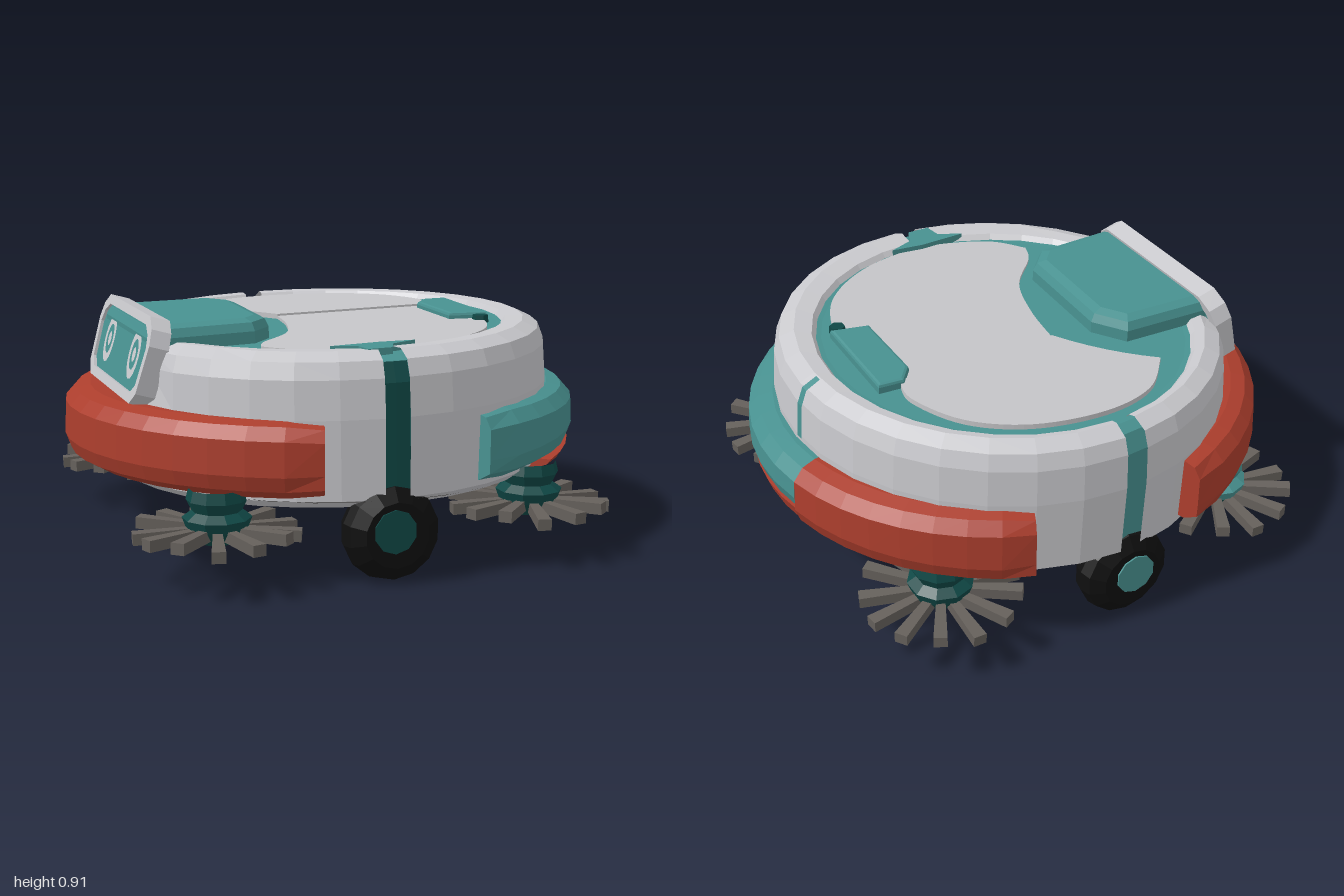
import * as THREE from 'three';

const mat = (name, color) => new THREE.MeshStandardMaterial({ name, color });

// Faceted shading for any geometry
function flat(geo) {
  const g = geo.index ? geo.toNonIndexed() : geo;
  g.computeVertexNormals();
  return g;
}

const V2 = (pts) => pts.map(([x, y]) => new THREE.Vector2(x, y));
const lathe = (pts, seg, start = 0, len = Math.PI * 2) => new THREE.LatheGeometry(V2(pts), seg, start, len);

// Sweeps a (radius, height) cross-section around an arc, easing the chosen ends
function sweepArc(section, a0, a1, n, taperStart, taperEnd) {
  const pos = [], idx = [], m = section(0).length;
  for (let j = 0; j <= n; j++) {
    const t = j / n, a = a0 + (a1 - a0) * t;
    const end = (taperStart && j === 0) || (taperEnd && j === n);
    for (const [r, y] of section(t)) {
      const rr = end ? Math.min(r, 0.982) : r;
      const yy = end ? 0.45 + (y - 0.45) * 0.92 : y;
      pos.push(rr * Math.sin(a), yy, rr * 0.965 * Math.cos(a) - 0.02);
    }
  }
  for (let j = 0; j < n; j++) for (let i = 0; i < m; i++) {
    const a = j * m + i, b = j * m + (i + 1) % m;
    idx.push(a, b + m, b, a, a + m, b + m);
  }
  for (let i = 1; i < m - 1; i++) {
    idx.push(0, i, i + 1, n * m, n * m + i + 1, n * m + i);
  }
  const g = new THREE.BufferGeometry();
  g.setAttribute('position', new THREE.Float32BufferAttribute(pos, 3));
  g.setIndex(idx);
  return flat(g);
}

export function createModel() {
  const white = mat('shell white', 0xc9c9cd);
  white.side = THREE.DoubleSide;
  const panelGrey = mat('panel grey', 0xc5c5c8);
  const teal = mat('teal', 0x489190);
  const darkTeal = mat('dark teal', 0x104846);
  const red = mat('red', 0xac3e2d);
  const black = mat('tyre black', 0x0f0f0f);
  const brushGrey = mat('bristle grey', 0x65605b);
  const under = mat('underside charcoal', 0x565250);

  const model = new THREE.Group();
  model.name = 'floorCleaner';
  const add = (name, geo, material, parent = model, x = 0, y = 0, z = 0) => {
    const mesh = new THREE.Mesh(flat(geo), material);
    mesh.name = name;
    mesh.position.set(x, y, z);
    parent.add(mesh);
    return mesh;
  };

  // Upper body, slightly higher on the +x side
  const body = new THREE.Group();
  body.name = 'body';
  body.position.x = 0.014;
  body.rotation.z = 0.02;
  model.add(body);

  // Fits a round part to the body plan: inner rim set back, -x side cut flat for the face
  const fit = (geo) => {
    geo.scale(0.985, 1, 1.02).translate(0.015, 0, -0.015);
    const p = geo.attributes.position;
    for (let i = 0; i < p.count; i++) {
      const x = p.getX(i), y = p.getY(i), z = p.getZ(i);
      if (y > 0.7 && Math.hypot(x, z) < 0.77) p.setZ(i, z - 0.03);
      if (y > 0.5) p.setX(i, Math.max(x, -0.765 + (y - 0.75) * 0.27));
    }
    return geo;
  };

  // Shell in two halves with a seam at the front and back
  const shell = [[0.83, 0.28], [0.868, 0.31], [0.878, 0.6], [0.87, 0.74], [0.848, 0.8],
    [0.79, 0.828], [0.735, 0.822], [0.71, 0.79]];
  const core = [[0.82, 0.285], [0.845, 0.315], [0.85, 0.72], [0.82, 0.79], [0.78, 0.808], [0.7, 0.8], [0, 0.8]];
  const swell = (pts, k) => pts.map(([r, y]) => [r * k, y]);
  add('shellRight', fit(lathe(shell, 16, 0, Math.PI + 0.005)), white, body);
  add('shellLeft', fit(lathe(shell, 16, Math.PI + 0.105, Math.PI - 0.21)), white, body);
  add('deck', fit(lathe(core, 32)), teal, body);
  add('frontSeam', fit(lathe(swell(core.slice(0, 4), 1.008), 2, -0.115, 0.125)), darkTeal, body);
  add('sideSeam', fit(lathe(swell(shell.slice(2, 6), 1.006), 1, Math.PI / 2 + 0.035, 0.035)), teal, body);
  add('underside', fit(lathe([[0, 0.268], [0.8, 0.278], [0.875, 0.305]], 32)), under);

  // Top panels, outlined in plan with back at +v
  const plan = (start, curve) => {
    const s = new THREE.Shape();
    s.moveTo(...start);
    s.splineThru(V2(curve));
    return s;
  };
  const slab = (shape, depth, bevel = 0, thick = bevel) => new THREE.ExtrudeGeometry(shape, {
    depth, bevelEnabled: bevel > 0, bevelSize: bevel, bevelThickness: thick, bevelSegments: 2, curveSegments: 6,
  }).rotateX(-Math.PI / 2);
  const back = plan([0.54, 0.2], [[0.56, 0.33], [0.46, 0.54], [0.26, 0.68], [-0.01, 0.73], [-0.23, 0.68], [-0.38, 0.53]]);
  back.quadraticCurveTo(-0.22, 0.4, -0.11, 0.2);
  add('backPanel', slab(back, 0.03), panelGrey, body, 0, 0.79, 0);
  const front = plan([-0.11, 0.2], [[-0.14, 0], [-0.21, -0.21], [-0.35, -0.37], [-0.39, -0.46]]);
  front.splineThru(V2([[-0.27, -0.59], [-0.01, -0.67], [0.27, -0.62], [0.49, -0.46], [0.59, -0.24], [0.6, 0], [0.54, 0.2]]));
  add('frontPanel', slab(front, 0.022), panelGrey, body, 0, 0.79, 0);

  // Flared inner mouth of the front seam
  const mouth = new THREE.Shape(V2([[-0.19, -0.665], [-0.1, -0.71], [-0.09, -0.78], [0, -0.78],
    [0.03, -0.71], [0.13, -0.67], [0, -0.655]]));
  add('seamMouth', slab(mouth, 0.031), teal, body, -0.01, 0.8, 0);

  // Hood behind the face, and the small latch opposite
  const hood = new THREE.Shape(V2([[-0.72, -0.29], [-0.39, -0.27], [-0.335, -0.21], [-0.32, 0.21],
    [-0.38, 0.3], [-0.72, 0.31]]));
  add('hood', slab(hood, 0.06, 0.05, 0.045), teal, body, 0, 0.785, 0);
  const latch = new THREE.Shape(V2([[0.485, -0.17], [0.61, -0.2], [0.622, 0.21], [0.54, 0.215], [0.49, 0.15]]));
  add('latch', slab(latch, 0.04, 0.012), teal, body, 0, 0.785, 0);
  add('latchPin', new THREE.CylinderGeometry(0.03, 0.035, 0.06, 6), darkTeal, body, 0.58, 0.8, 0.235);

  // Face plate with chamfered frame, inset screen and eyes
  const face = new THREE.Group();
  face.name = 'face';
  face.position.set(-0.8, 0.755, -0.025);
  face.rotation.set(-0.28, -Math.PI / 2, 0, 'YXZ');
  model.add(face);
  const outline = [[-0.33, -0.165], [0.33, -0.165], [0.385, -0.12], [0.405, 0.06], [0.38, 0.12], [0.32, 0.16],
    [-0.32, 0.16], [-0.38, 0.12], [-0.405, 0.06], [-0.385, -0.12]];
  const inner = V2(outline.map(([x, y]) => [x * 0.91, y * 0.78]));
  const frame = new THREE.Shape(V2(outline));
  frame.holes.push(new THREE.Path(inner));
  const plate = (s, depth) => new THREE.ExtrudeGeometry(s, { depth, bevelEnabled: false });
  add('faceFrame', plate(frame, 0.075), white, face, 0, 0, -0.075);
  add('faceScreen', plate(new THREE.Shape(inner), 0.058), teal, face, 0, 0, -0.07);
  for (const x of [-0.2, 0.2]) {
    add('eyeRing', new THREE.RingGeometry(0.045, 0.072, 16).scale(1, 1.3, 1), white, face, x, 0, -0.009);
    add('eyeDot', new THREE.CircleGeometry(0.022, 10).scale(1, 1.3, 1), white, face, x, 0, -0.009);
  }

  // Bumpers: one red side, the other teal at the front and red behind
  const bumper = (low0, low1) => (t) => {
    const b = low0 + (low1 - low0) * t;
    return [[0.8, b + 0.01], [0.92, b], [0.98, b + 0.035], [1, b + 0.09], [0.995, 0.535], [0.955, 0.58], [0.9, 0.593], [0.8, 0.59]];
  };
  add('leftBumper', sweepArc(bumper(0.315, 0.32), Math.PI + 0.31, Math.PI * 2 - 0.31, 18, true, true), red);
  add('frontBumper', sweepArc(bumper(0.325, 0.375), 0.34, 1.76, 10, true, false), teal);
  add('backBumper', sweepArc(bumper(0.32, 0.3), 1.76, 2.75, 8, false, true), red);
  const strip = (t) => [[0.8, 0.305], [0.92, 0.31], [0.97, 0.33 + 0.02 * t], [0.985, 0.35 + 0.05 * t], [0.8, 0.35 + 0.05 * t]];
  add('lowerStrip', sweepArc(strip, 0.75, 1.76, 8), red);

  // Wheels under the front and back seams, hubs on both sides
  const tyre = [[0, -0.08], [0.12, -0.08], [0.17, -0.045], [0.18, 0], [0.17, 0.045], [0.12, 0.08], [0, 0.08]];
  for (const s of [1, -1]) {
    const wheel = new THREE.Group();
    wheel.name = s > 0 ? 'frontWheel' : 'backWheel';
    wheel.position.set(-0.03, 0.18, s > 0 ? 0.81 : -0.835);
    model.add(wheel);
    add('tyre', lathe(tyre, 14).rotateX(Math.PI / 2), black, wheel);
    for (const side of [1, -1]) {
      add('hub', new THREE.CylinderGeometry(0.08, 0.08, 0.02, 10).rotateX(Math.PI / 2),
        s < 0 && side < 0 ? teal : darkTeal, wheel, -0.01, 0.015, side * 0.076);
    }
  }

  // Four sweeping brushes with radiating bristles
  const hubSide = [[0.11, 0.195], [0.125, 0.235], [0.09, 0.26], [0.11, 0.3], [0.1, 0.34]];
  for (const sx of [-1, 1]) for (const sz of [-1, 1]) {
    const brush = new THREE.Group();
    brush.name = 'brush';
    brush.position.set(sx * 0.61, 0, sz * 0.62);
    model.add(brush);
    add('brushHub', lathe(hubSide, 10), sz < 0 && sx < 0 ? teal : darkTeal, brush);
    add('brushTip', lathe([[0, 0.135], [0.07, 0.145], [0.11, 0.195]], 10), darkTeal, brush);
    const count = 13;
    for (let i = 0; i < count; i++) {
      const g = new THREE.BoxGeometry(0.22, 0.042, 0.05);
      const p = g.attributes.position;
      for (let k = 0; k < p.count; k++) if (p.getX(k) < 0) p.setZ(k, p.getZ(k) * 0.65);
      g.translate(0.19, 0, 0).rotateZ((i % 3 - 1) * 0.04).rotateY((i / count) * Math.PI * 2 + 0.1);
      add('bristle', g, brushGrey, brush, 0, 0.183, 0);
    }
  }
  return model;
}
